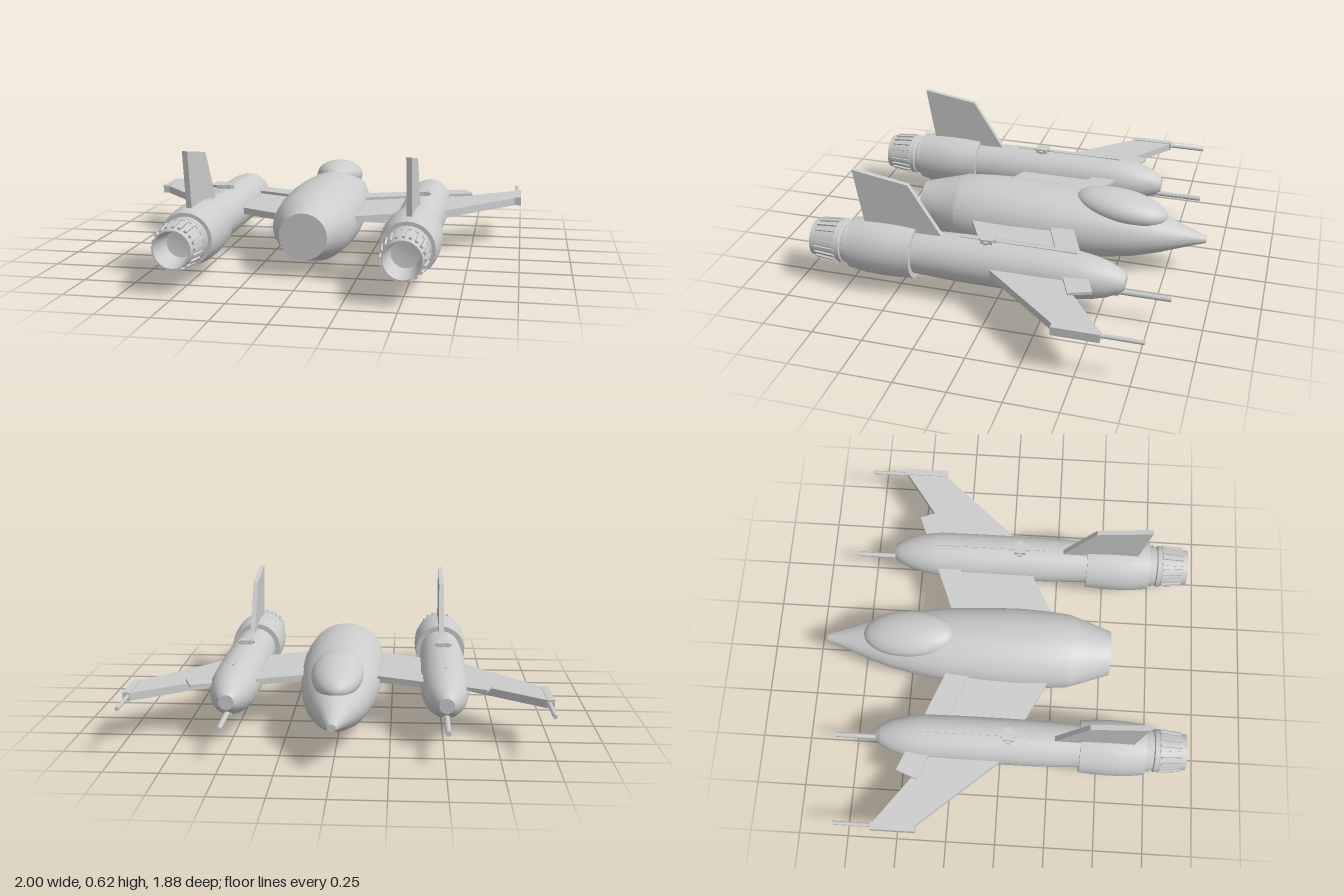
import * as THREE from 'three';
import { toCreasedNormals } from 'three/addons/utils/BufferGeometryUtils.js';

const grey = new THREE.MeshStandardMaterial({ color: 0xcccccc });
grey.name = 'hull grey';

function part(parent, name, geometry, x = 0, y = 0, z = 0) {
  const mesh = new THREE.Mesh(geometry, grey);
  mesh.name = name;
  mesh.position.set(x, y, z);
  parent.add(mesh);
  return mesh;
}

// Body of revolution along z from [radius, z] pairs
function turned(profile, sides = 32, sy = 1) {
  const g = new THREE.LatheGeometry(profile.map(p => new THREE.Vector2(p[0], p[1])), sides);
  g.rotateX(Math.PI / 2);
  g.scale(1, sy, 1);
  return g;
}
const creased = g => toCreasedNormals(g, 0.3);

// Horizontal slab from [x, z] corners, between two heights
function slab(corners, y0, y1) {
  const s = new THREE.Shape(corners.map(p => new THREE.Vector2(p[0], -p[1])));
  const g = new THREE.ExtrudeGeometry(s, { depth: y1 - y0, bevelEnabled: false });
  g.rotateX(-Math.PI / 2);
  g.translate(0, y0, 0);
  return g;
}

// Upright slab from [z, y] corners, centred on x = 0
function upright(corners, thickness) {
  const s = new THREE.Shape(corners.map(p => new THREE.Vector2(-p[0], p[1])));
  const g = new THREE.ExtrudeGeometry(s, { depth: thickness, bevelEnabled: false });
  g.translate(0, 0, -thickness / 2);
  g.rotateY(Math.PI / 2);
  return g;
}

function rod(radius, z0, z1) {
  const g = new THREE.CylinderGeometry(radius, radius, z1 - z0, 10);
  g.rotateX(Math.PI / 2);
  g.translate(0, 0, (z0 + z1) / 2);
  return g;
}

function buildFuselage(parent) {
  const hull = turned([[0, -0.94], [0.02, -0.94], [0.065, -0.82], [0.108, -0.71], [0.145, -0.59],
    [0.172, -0.45], [0.192, -0.3], [0.204, -0.12], [0.21, 0.05], [0.204, 0.2], [0.192, 0.33],
    [0.186, 0.345], [0.115, 0.54], [0, 0.54]], 40, 0.88);
  // The tail end becomes circular
  const p = hull.attributes.position;
  for (let i = 0; i < p.count; i++) if (p.getZ(i) > 0.5) p.setY(i, p.getY(i) / 0.9);
  part(parent, 'fuselage', creased(hull), 0, 0.205, 0);

  // Belly fairing, flat along its length and sloping up at both ends
  const belly = turned([[0, -0.48], [0.095, -0.48], [0.14, -0.32], [0.14, 0.2], [0.105, 0.38], [0, 0.38]], 32, 1);
  const b = belly.attributes.position;
  for (let i = 0; i < b.count; i++) b.setY(i, b.getY(i) * 1.04);
  part(parent, 'bellyFairing', creased(belly), 0, 0.151, 0);

  const canopy = part(parent, 'canopy', new THREE.SphereGeometry(1, 32, 20), 0, 0.328, -0.505);
  canopy.scale.set(0.122, 0.08, 0.236);
  canopy.rotation.x = -0.13;
}

function buildNacelle(side) {
  const n = new THREE.Group();
  n.name = side > 0 ? 'leftNacelle' : 'rightNacelle';
  n.position.set(side * 0.51, 0.215, 0);

  part(n, 'nacelleBody', creased(turned([[0, -0.63], [0.036, -0.63], [0.057, -0.605], [0.083, -0.55],
    [0.102, -0.48], [0.115, -0.39], [0.117, -0.2], [0.117, 0.15], [0.113, 0.28], [0.106, 0.41], [0, 0.41]])));
  part(n, 'engineCowl', creased(turned([[0, 0.4], [0.132, 0.4], [0.138, 0.48], [0.14, 0.56],
    [0.137, 0.65], [0.126, 0.73], [0, 0.73]])));
  part(n, 'engineCollar', creased(turned([[0.1, 0.72], [0.108, 0.73], [0.108, 0.755], [0.1, 0.76],
    [0.1, 0.77], [0.109, 0.775], [0.109, 0.795], [0.09, 0.8]])));
  // Hollow exhaust
  part(n, 'exhaustNozzle', creased(turned([[0.1, 0.79], [0.104, 0.8], [0.09, 0.935],
    [0.084, 0.935], [0.066, 0.8], [0, 0.79]])));
  for (let i = 0; i < 20; i++) {
    const pivot = new THREE.Group();
    pivot.name = 'nozzlePetal';
    pivot.rotation.z = (i / 20) * Math.PI * 2;
    n.add(pivot);
    const petal = part(pivot, 'petalRib', new THREE.BoxGeometry(0.014, 0.012, 0.105), 0, 0.101, 0.855);
    petal.rotation.x = 0.09;
  }

  // Tail fin, dorsal ridge and sensor block
  part(n, 'tailFin', upright([[0.71, 0.407], [0.43, 0.362], [0.27, 0.11], [0.66, 0.11]], 0.025));
  part(n, 'dorsalRidge', new THREE.BoxGeometry(0.008, 0.02, 0.57), 0, 0.11, -0.11);
  part(n, 'sensorBlock', new THREE.BoxGeometry(0.06, 0.03, 0.06), 0, 0.12, 0.04);
  part(n, 'sensorCrossBar', new THREE.BoxGeometry(0.085, 0.014, 0.02), 0, 0.121, 0.04);
  part(n, 'sensorLongBar', new THREE.BoxGeometry(0.02, 0.014, 0.085), 0, 0.121, 0.04);

  // Chin cannon
  part(n, 'chinCannon', rod(0.013, -0.845, -0.45), 0, -0.058, 0);
  part(n, 'cannonMount', new THREE.BoxGeometry(0.036, 0.034, 0.14), 0, -0.056, -0.53);
  return n;
}

function buildWing(side) {
  const w = new THREE.Group();
  w.name = side > 0 ? 'leftWing' : 'rightWing';
  const flip = pts => pts.map(([x, z]) => [side * x, z]);

  part(w, 'innerWing', slab(flip([[0.1, -0.22], [0.51, -0.36], [0.51, 0.058], [0.1, 0.272]]), 0.212, 0.245));
  part(w, 'outerWing', slab(flip([[0.51, -0.27], [0.975, -0.61], [0.975, -0.4], [0.62, 0.005], [0.51, 0.06]]), 0.207, 0.245));
  part(w, 'forwardStrut', slab(flip([[0.1, -0.27], [0.7, -0.51], [0.74, -0.403], [0.1, -0.147]]), 0.247, 0.261));

  // Wingtip gun
  part(w, 'wingtipPod', new THREE.BoxGeometry(0.035, 0.042, 0.22), side * 0.982, 0.228, -0.5);
  part(w, 'wingtipGun', rod(0.01, -0.8, -0.6), side * 0.976, 0.23, 0);
  return w;
}

export function createModel() {
  const ship = new THREE.Group();
  ship.name = 'starfighter';
  buildFuselage(ship);
  for (const side of [1, -1]) ship.add(buildNacelle(side), buildWing(side));
  return ship;
}
